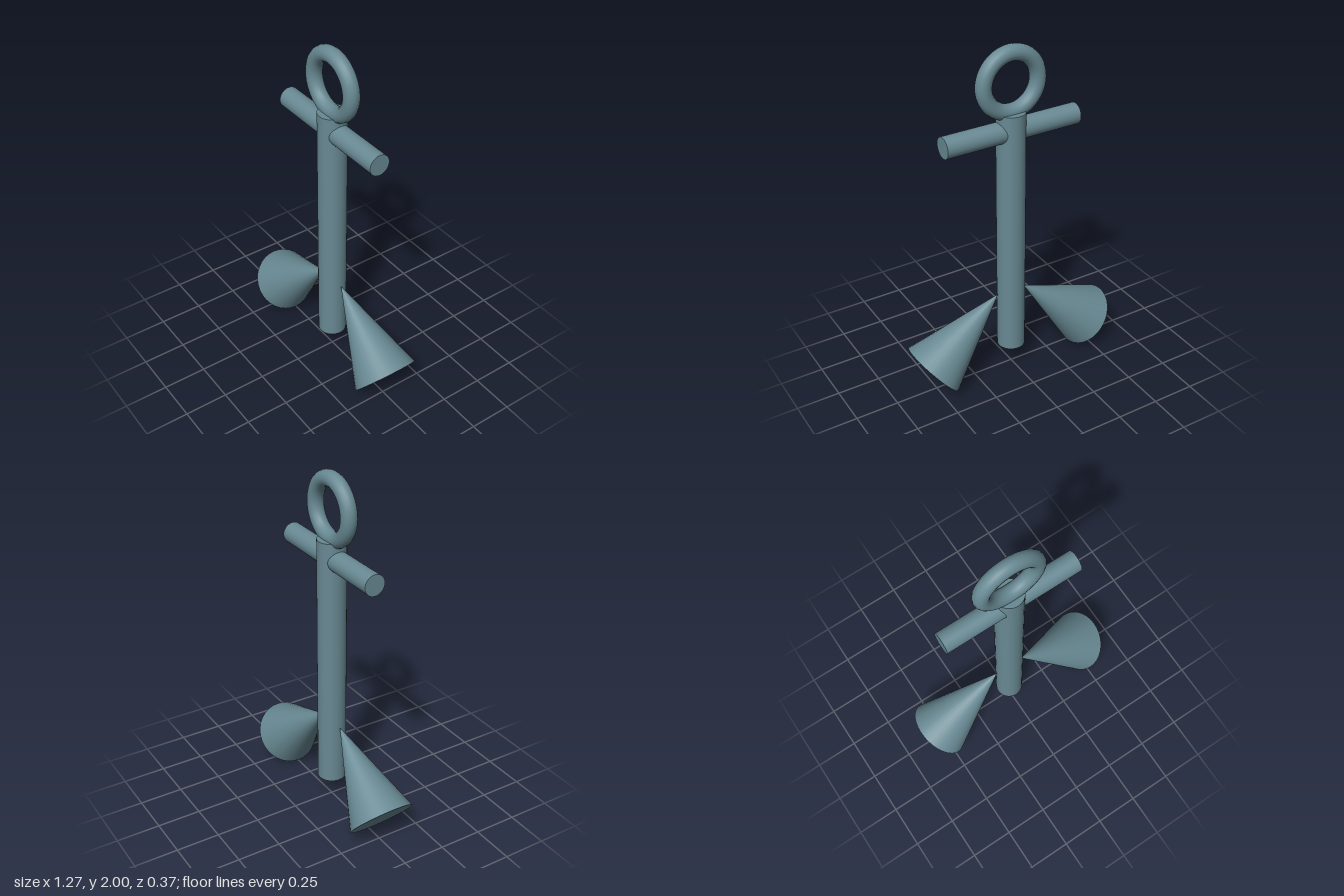
import * as THREE from 'three';

export function createModel() {
  const model = new THREE.Group();
  const metal = new THREE.MeshStandardMaterial({ color: 0x688993 });
  metal.name = 'blueGreyMetal';

  const add = (name, geometry, x, y, turn = 0) => {
    const mesh = new THREE.Mesh(geometry, metal);
    mesh.name = name;
    mesh.position.set(x, y, 0);
    mesh.rotation.z = turn;
    model.add(mesh);
  };

  // Upright shaft, crossbar and top ring
  add('shaft', new THREE.CylinderGeometry(0.081, 0.081, 1.485, 32), 0, 0.8875);
  add('crossbar', new THREE.CylinderGeometry(0.06, 0.06, 0.81, 32), 0, 1.523, Math.PI / 2);
  add('ring', new THREE.TorusGeometry(0.1625, 0.045, 16, 48), 0, 1.7925);

  // Mirrored conical flukes, with their tips touching the shaft
  for (const side of [1, -1]) {
    add(side > 0 ? 'leftFluke' : 'rightFluke',
      new THREE.ConeGeometry(0.187, 0.5625, 32), side * 0.3, 0.329, side * 0.87);
  }
  return model;
}
